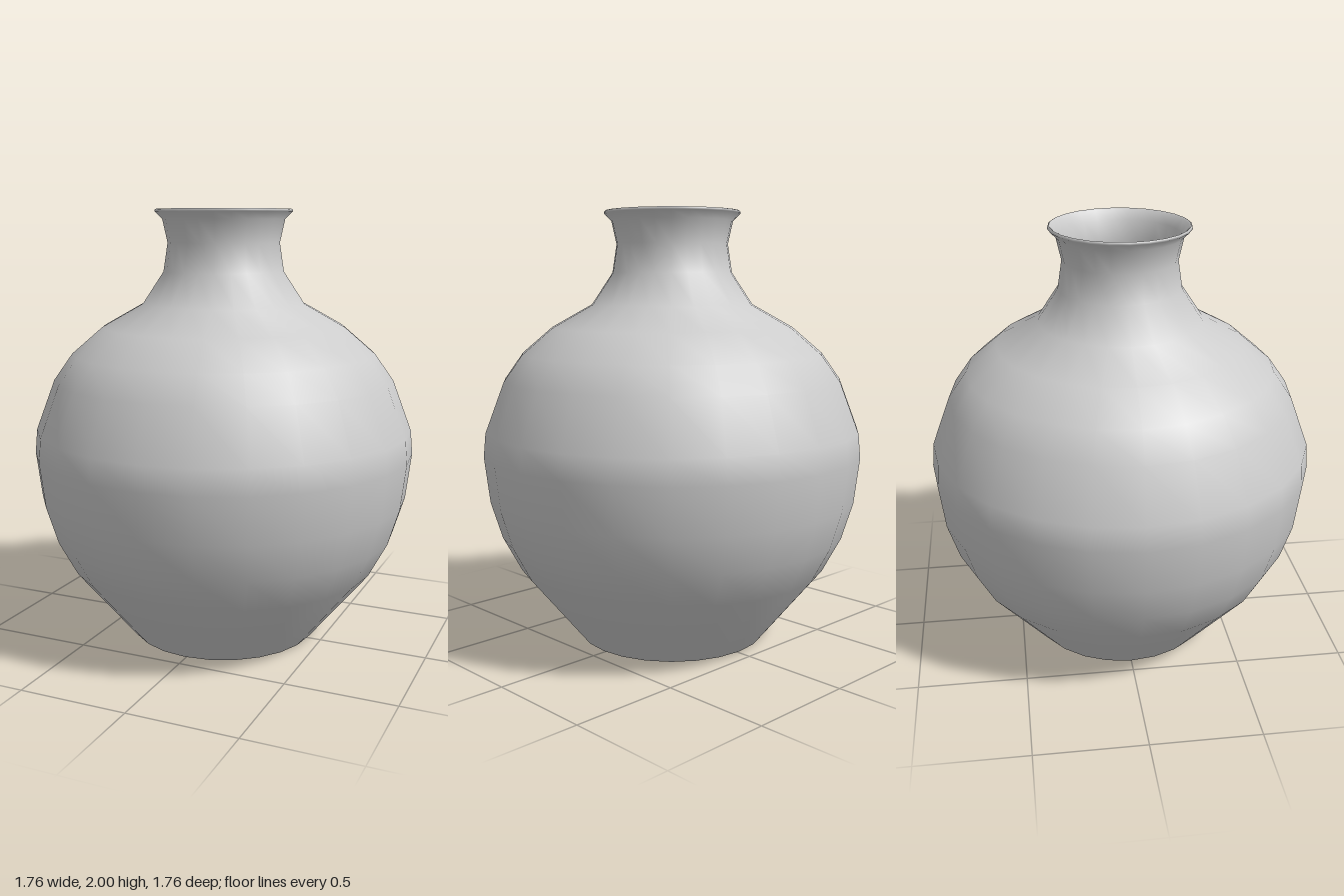
import * as THREE from 'three';

const SIDES = 24;

// Turns a [radius, height] profile around the y axis
function turned(name, profile, material) {
  const points = profile.map(([r, y]) => new THREE.Vector2(r, y));
  const mesh = new THREE.Mesh(new THREE.LatheGeometry(points, SIDES), material);
  mesh.name = name;
  return mesh;
}

export function createModel() {
  const vase = new THREE.Group();
  vase.name = 'vase';
  const clay = new THREE.MeshStandardMaterial({ color: 0xcccccc });

  // Foot, belly, shoulder and neck, from the bottom up
  const wall = [
    [0.45, 0.02], [0.72, 0.35], [0.805, 0.51], [0.857, 0.68], [0.882, 0.89],
    [0.872, 1.0], [0.785, 1.23], [0.70, 1.35], [0.56, 1.47], [0.373, 1.575],
    [0.277, 1.72], [0.257, 1.85], [0.28, 1.955],
  ];

  // Outer skin: flat base with a softened edge, up to the flared lip
  const outside = [[0, 0], [0.42, 0], [0.438, 0.006], ...wall, [0.314, 1.988], [0.313, 1.997], [0.308, 2]];

  // Inner skin: the same wall set in by its thickness, from the lip down to the floor
  const thickness = 0.013;
  const inside = [[0.308, 2], [0.3, 1.995],
    ...wall.slice(1).reverse().map(([r, y]) => [r - thickness, y]),
    [0.45, 0.035], [0.42, 0.018], [0, 0.018]];

  vase.add(turned('outerBody', outside, clay), turned('innerBody', inside, clay));
  return vase;
}
